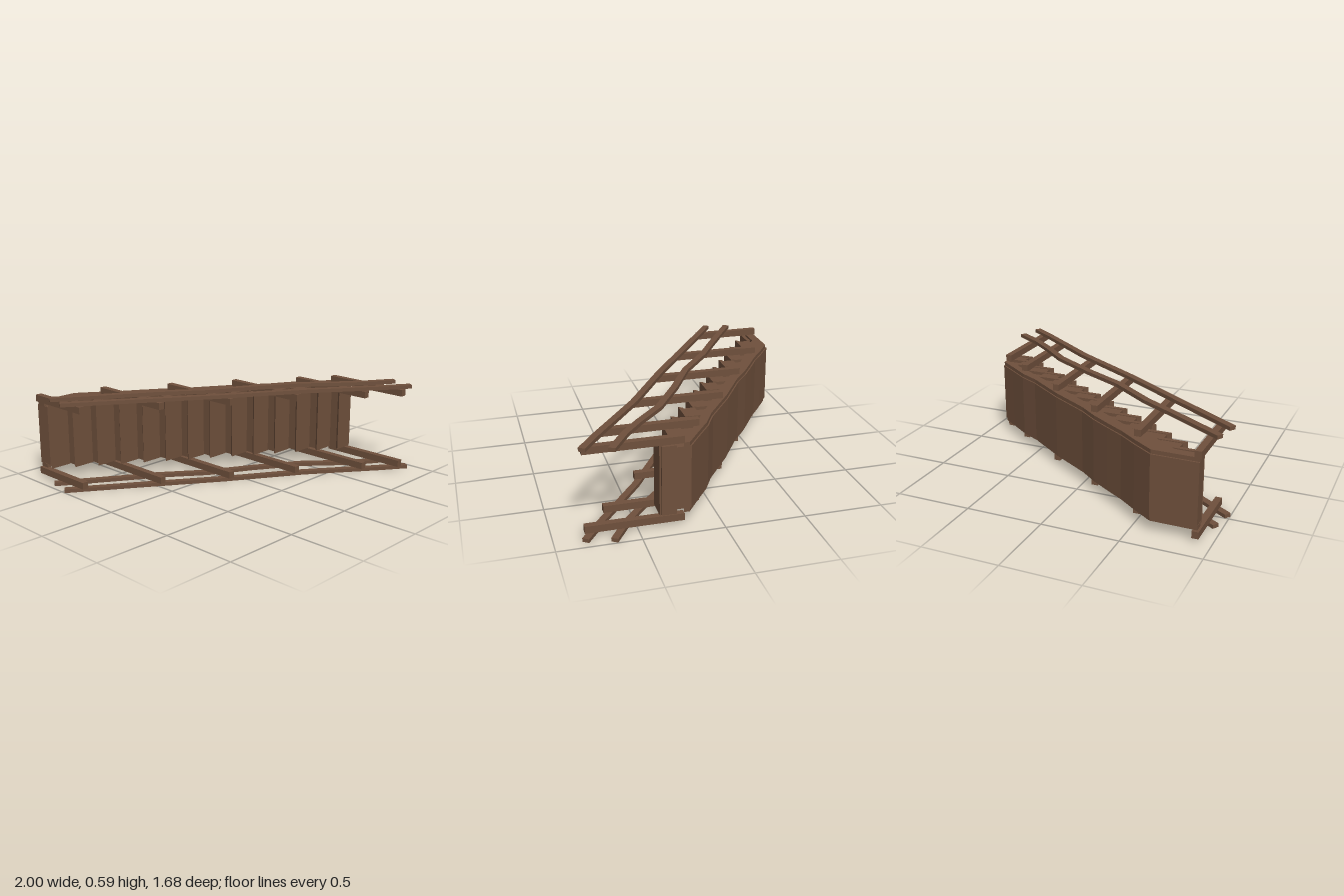
import * as THREE from 'three';

export function createModel() {
  const model = new THREE.Group();
  model.name = 'staircase';
  const wood = new THREE.MeshStandardMaterial({ color: 0x6f503c });
  wood.name = 'brown wood';

  // Extrudes an outline of [x, z] points from height y0 up to y1
  function slab(name, points, y0, y1) {
    const shape = new THREE.Shape(points.map(([x, z]) => new THREE.Vector2(x, z)));
    const geo = new THREE.ExtrudeGeometry(shape, { depth: y1 - y0, bevelEnabled: false });
    geo.rotateX(Math.PI / 2).translate(0, y1, 0);
    const mesh = new THREE.Mesh(geo, wood);
    mesh.name = name;
    model.add(mesh);
  }

  // Outline of a constant-width strip along a bent path
  function strip(path, width) {
    const a = [], b = [];
    path.forEach(([x, z], i) => {
      const p = path[Math.max(i - 1, 0)], q = path[Math.min(i + 1, path.length - 1)];
      const dx = q[0] - p[0], dz = q[1] - p[1], l = Math.hypot(dx, dz);
      const ox = (-dz / l) * width / 2, oz = (dx / l) * width / 2;
      a.push([x + ox, z + oz]);
      b.unshift([x - ox, z - oz]);
    });
    return a.concat(b);
  }

  const steps = 14, run = 0.1275, rise = 0.085;
  const nose = (k) => -0.905 + run * k;
  const treadTop = (k) => -0.735 + rise * k;

  // Uneven underside of the flight
  const under = [[-0.91, -0.845], [-0.62, -0.845], [-0.49, -0.755], [-0.37, -0.665], [-0.25, -0.59],
    [-0.12, -0.505], [0, -0.41], [0.26, -0.25], [0.51, -0.07], [0.64, 0], [0.77, 0.095], [0.887, 0.178]];

  // Solid core with stepped face
  const stepped = [];
  for (let k = steps - 1; k >= 0; k--) {
    const z = treadTop(k) - 0.012;
    const x = k ? nose(k) + 0.024 : -0.905;
    stepped.push([k === steps - 1 ? 0.887 : nose(k + 1) + 0.024, z], [x, z]);
  }
  slab('stairBody', [...under, ...stepped], 0.1, 0.5);

  // Riser panels and treads with slanted noses
  for (let k = 0; k < steps; k++) {
    const x = nose(k), z = treadTop(k), end = Math.min(x + 0.152, 0.887);
    slab('tread', [[x, z], [x + 0.02, z - 0.026], [end, z - 0.026], [end, z]], 0.075, 0.525);
    if (k) slab('riser', [[x + 0.022, z - 0.1], [x + 0.15, z - 0.1],
      [x + 0.15, z - 0.01], [x + 0.022, z - 0.01]], 0.08, 0.52);
  }

  // Side stringers
  const lower = under.map(([x, z]) => [x, z + 0.01]);
  const stringer = [...lower, [0.887, 0.225], [0.64, 0.08], [0.26, -0.155],
    [0, -0.325], [-0.37, -0.57], [-0.62, -0.69], [-0.74, -0.775], [-0.91, -0.775]];
  slab('stringer', stringer, 0.075, 0.102);
  slab('stringer', stringer, 0.498, 0.525);

  // Railings, mirrored on both sides of the flight
  const posts = [[-0.9, -0.845, -0.38], [-0.485, -0.695, -0.1], [-0.1, -0.445, 0.15],
    [0.285, -0.2, 0.39], [0.66, 0.07, 0.665], [0.87, 0.22, 0.815]];
  const midRail = [[-0.96, -0.635], [-0.58, -0.395], [-0.38, -0.275], [-0.11, -0.07],
    [0.18, 0.085], [0.47, 0.262], [0.66, 0.433], [0.8, 0.545], [0.985, 0.66]];
  const handRail = [[-0.99, -0.485], [-0.57, -0.205], [-0.12, 0.1], [0.35, 0.39],
    [0.77, 0.7], [0.945, 0.82]];
  for (const side of [-1, 1]) {
    const mid = 0.296;
    const span = (a, b) => (side > 0 ? [mid + a, mid + b] : [mid - b, mid - a]);
    for (const [x, z0, z1] of posts) {
      slab('railPost', [[x - 0.021, z0], [x + 0.021, z0], [x + 0.021, z1], [x - 0.021, z1]],
        ...span(0.227, 0.272));
    }
    slab('midRail', strip(midRail, 0.043), ...span(0.272, 0.296));
    slab('handRail', strip(handRail, 0.043), ...span(0.272, 0.296));
  }
  return model;
}
